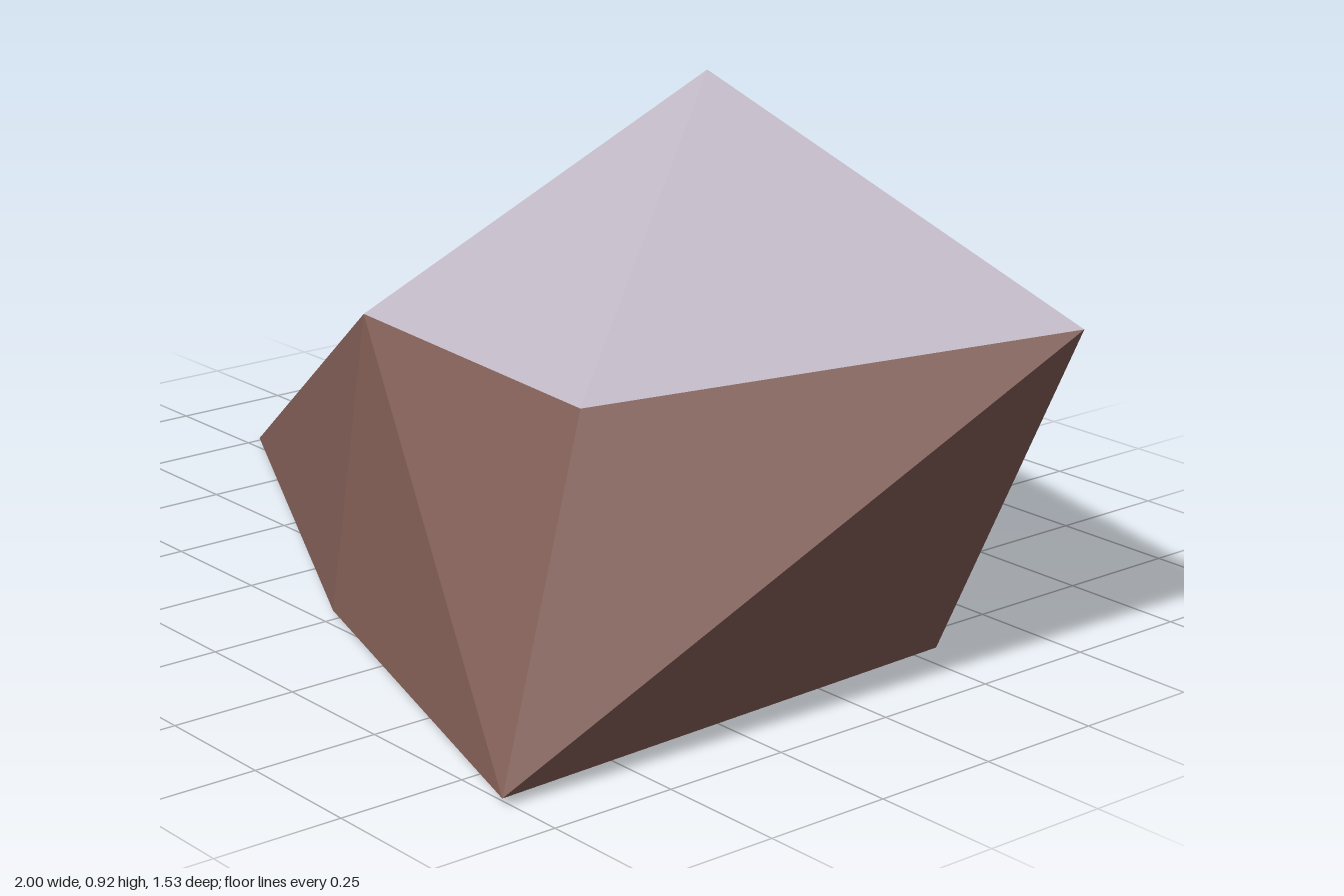
import * as THREE from 'three';
import { ConvexGeometry } from 'three/addons/geometries/ConvexGeometry.js';

// Corners of the faceted boulder
const baseRing = [
  [-1, 0.005, -0.03], [-0.01, 0.013, 0.475], [0.88, 0.015, 0.765], [0.835, 0.01, -0.29],
  [0.575, 0.01, -0.56], [0.17, 0.012, -0.765], [-0.25, 0, -0.63],
];
const crown = [
  [-0.09, 0.917, -0.525], [-0.21, 0.515, 0.25], [0.49, 0.5, 0.28],
  [1, 0.627, -0.47], [0.13, 0.645, -0.665],
];

// Keep only the hull triangles that pass the test
function pickFaces(hull, test) {
  const source = hull.getAttribute('position').array;
  const kept = [];
  for (let i = 0; i < source.length; i += 9) {
    const tri = Array.from(source.slice(i, i + 9));
    if (test(Math.min(tri[1], tri[4], tri[7]))) kept.push(...tri);
  }
  const geometry = new THREE.BufferGeometry();
  geometry.setAttribute('position', new THREE.Float32BufferAttribute(kept, 3));
  geometry.computeVertexNormals();
  return geometry;
}

export function createModel() {
  const group = new THREE.Group();
  group.name = 'boulder';

  const brown = new THREE.MeshStandardMaterial({ color: 0x7a5850 });
  brown.name = 'brown stone';
  const grey = new THREE.MeshStandardMaterial({ color: 0xbdb5c2 });
  grey.name = 'pale grey stone';

  const hull = new ConvexGeometry([...baseRing, ...crown].map((p) => new THREE.Vector3(...p)));

  // Brown flanks and underside
  const body = new THREE.Mesh(pickFaces(hull, (low) => low < 0.4), brown);
  body.name = 'rockBody';

  // Pale facets between the crown corners
  const cap = new THREE.Mesh(pickFaces(hull, (low) => low >= 0.4), grey);
  cap.name = 'rockCap';

  group.add(body, cap);
  return group;
}
